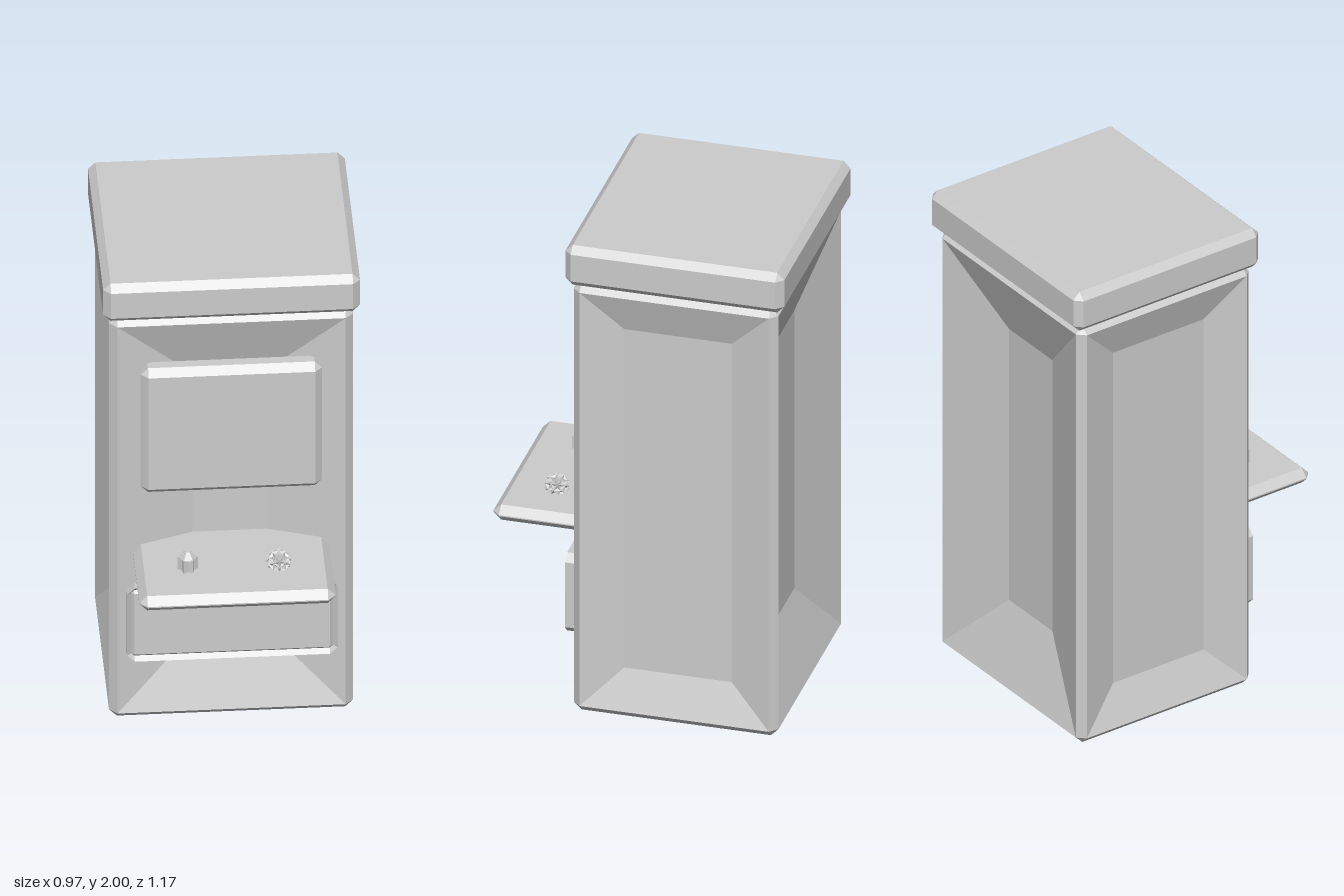
import * as THREE from 'three';

const grey = new THREE.MeshStandardMaterial({ color: 0xcccccc, flatShading: true, side: THREE.DoubleSide });
grey.name = 'plain grey';

// Collects flat polygons, each wound to face along a reference direction
function polyBuilder() {
  const out = [];
  return {
    add(pts, dir) {
      const n = new THREE.Vector3().subVectors(pts[1], pts[0])
        .cross(new THREE.Vector3().subVectors(pts[2], pts[0]));
      const p = n.dot(dir) < 0 ? [...pts].reverse() : pts;
      for (let i = 1; i < p.length - 1; i++) {
        for (const v of [p[0], p[i], p[i + 1]]) out.push(v.x, v.y, v.z);
      }
    },
    build() {
      const g = new THREE.BufferGeometry();
      g.setAttribute('position', new THREE.Float32BufferAttribute(out, 3));
      g.computeVertexNormals();
      return g;
    },
  };
}

// Box with bevelled edges; recess[axis] insets that pair of faces as a sloped hollow
function bevelBox(min, max, c, recess = [0, 0, 0], slope = 0.345) {
  const h = min.map((v, i) => (max[i] - v) / 2);
  const mid = min.map((v, i) => (max[i] + v) / 2);
  const b = polyBuilder();
  // Corner of the face on the given axis, optionally pulled inward
  const corner = (axis, s, inset = 0) => new THREE.Vector3(...h.map((v, i) =>
    s[i] * (i === axis ? v - inset * slope : v - c - inset)));
  for (let a = 0; a < 3; a++) {
    const u = (a + 1) % 3, w = (a + 2) % 3;
    for (const sa of [-1, 1]) {
      // Flat face and the slopes of its hollow
      const sign = (su, sw) => { const s = []; s[a] = sa; s[u] = su; s[w] = sw; return s; };
      const ring = [sign(-1, -1), sign(1, -1), sign(1, 1), sign(-1, 1)];
      const dir = corner(a, [0, 0, 0].map((_, i) => (i === a ? sa : 0)));
      const r = recess[a];
      b.add(ring.map((s) => corner(a, s, r)), dir);
      if (r) ring.forEach((s, i) => {
        const t = ring[(i + 1) % 4];
        b.add([corner(a, s), corner(a, t), corner(a, t, r), corner(a, s, r)], dir);
      });
      // Bevel shared with the next axis
      for (const su of [-1, 1]) {
        const s0 = sign(su, -1), s1 = sign(su, 1);
        const out = new THREE.Vector3().setComponent(a, sa).setComponent(u, su);
        b.add([corner(a, s0), corner(a, s1), corner(u, s1), corner(u, s0)], out);
      }
    }
  }
  // Small corner triangles
  for (const x of [-1, 1]) for (const y of [-1, 1]) for (const z of [-1, 1]) {
    const s = [x, y, z];
    b.add([corner(0, s), corner(1, s), corner(2, s)], new THREE.Vector3(x, y, z));
  }
  return b.build().translate(...mid);
}

// Fluted knob with a blunt pointed top
function knobGeometry() {
  const shape = new THREE.Shape();
  for (let i = 0; i < 12; i++) {
    const r = i % 2 ? 0.025 : 0.039, t = (i * Math.PI) / 6;
    shape[i ? 'lineTo' : 'moveTo'](r * Math.cos(t), r * Math.sin(t));
  }
  return new THREE.ExtrudeGeometry(shape, { depth: 0.07, bevelEnabled: false }).rotateX(-Math.PI / 2);
}

// Faceted ball with a dimple in every facet
function dimpledBall(radius) {
  const p = new THREE.IcosahedronGeometry(radius, 1).getAttribute('position');
  const b = polyBuilder();
  for (let i = 0; i < p.count; i += 3) {
    const v = [0, 1, 2].map((k) => new THREE.Vector3().fromBufferAttribute(p, i + k));
    const pit = v[0].clone().add(v[1]).add(v[2]).multiplyScalar(0.82 / 3);
    v.forEach((q, k) => b.add([q, v[(k + 1) % 3], pit], pit));
  }
  return b.build();
}

export function createModel() {
  const model = new THREE.Group();
  model.name = 'cabinet';
  const add = (name, geometry, x = 0, y = 0, z = 0) => {
    const mesh = new THREE.Mesh(geometry, grey);
    mesh.name = name;
    mesh.position.set(x, y, z);
    model.add(mesh);
  };

  // Cabinet body with hollowed sides, and its cap
  add('body', bevelBox([-0.46, 0, -0.555], [0.46, 1.83, 0.245], 0.03, [0.16, 0, 0.29]));
  add('cap', bevelBox([-0.484, 1.83, -0.585], [0.484, 2, 0.27], 0.028));

  // Front fittings
  add('screen', bevelBox([-0.342, 1.035, 0.17], [0.342, 1.602, 0.265], 0.028));
  add('shelf', bevelBox([-0.37, 0.715, 0.08], [0.37, 0.78, 0.585], 0.03));
  // Thin panel whose bevel is deeper than the sheet, leaving a raised rim
  add('lowerPanel', bevelBox([-0.397, 0.295, 0.26], [0.397, 0.63, 0.284], 0.029));

  // Controls on the shelf
  add('knob', knobGeometry(), -0.175, 0.765, 0.385);
  add('knobTip', new THREE.CylinderGeometry(0.012, 0.034, 0.027, 6).rotateY(Math.PI / 6), -0.175, 0.8465, 0.385);
  add('ballControl', dimpledBall(0.048), 0.168, 0.798, 0.385);
  return model;
}
